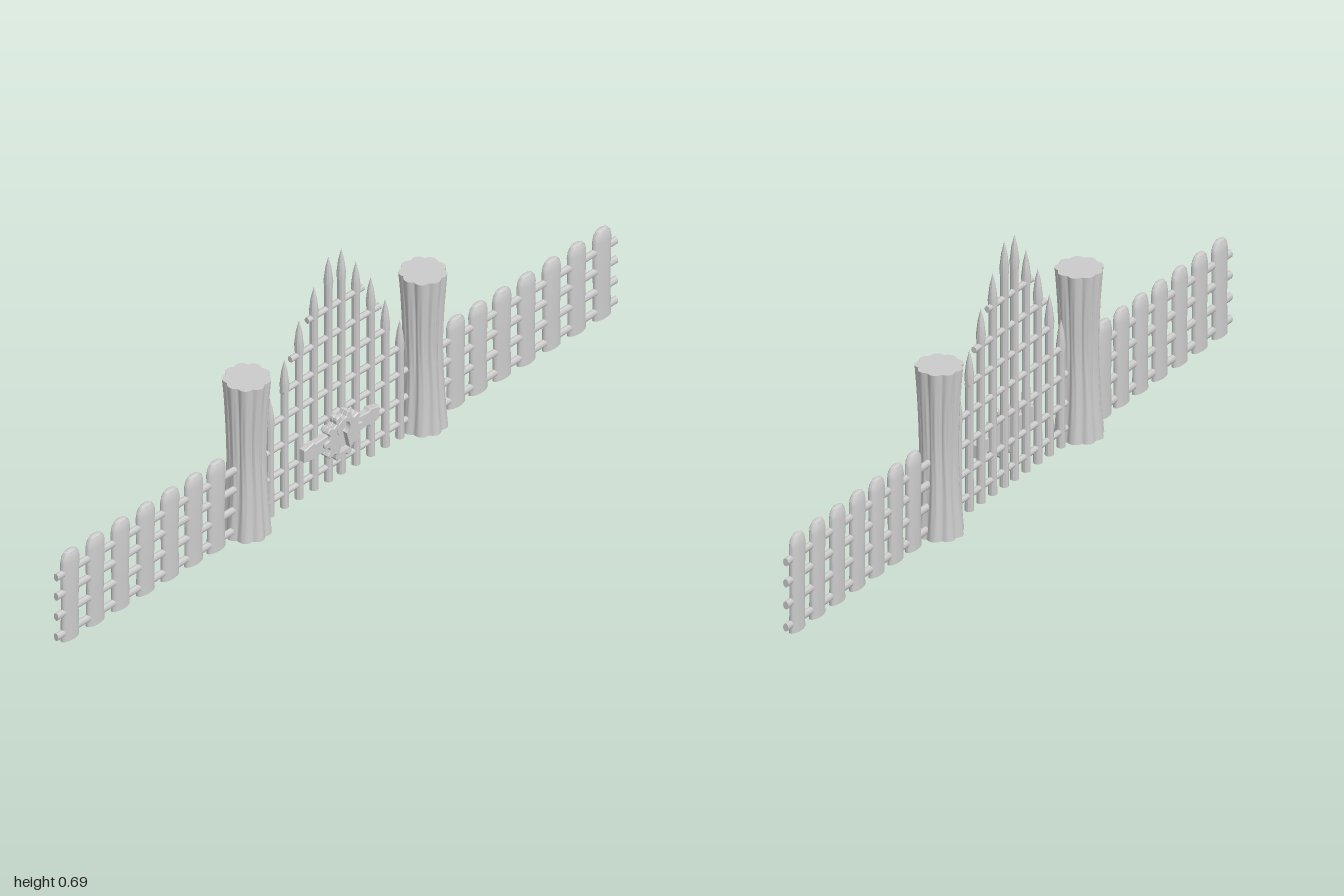
import * as THREE from 'three';
import { toCreasedNormals } from 'three/addons/utils/BufferGeometryUtils.js';

const material = new THREE.MeshStandardMaterial({ color: 0xcccccc, side: THREE.DoubleSide });

function add(parent, name, geometry, x = 0, y = 0, z = 0) {
  const mesh = new THREE.Mesh(geometry, material);
  mesh.name = name;
  mesh.position.set(x, y, z);
  parent.add(mesh);
  return mesh;
}

function lathe(profile, sides) {
  const points = profile.map(([r, y]) => new THREE.Vector2(r, y));
  return toCreasedNormals(new THREE.LatheGeometry(points, sides), 0.6);
}

// Horizontal rod between two x positions
function rail(parent, name, x0, x1, y, z, ry, rz) {
  const geometry = new THREE.CylinderGeometry(1, 1, x1 - x0, 10);
  geometry.rotateZ(Math.PI / 2).scale(1, ry, rz);
  add(parent, name, geometry, (x0 + x1) / 2, y, z);
}

// Waisted trunk with big lobes and fine bark ridges
function trunkGeometry(height) {
  const geometry = new THREE.CylinderGeometry(1, 1, height, 108, 14);
  const p = geometry.attributes.position;
  for (let i = 0; i < p.count; i++) {
    const x = p.getX(i), z = p.getZ(i), y = p.getY(i) / height + 0.5;
    const a = Math.atan2(z, x);
    const waist = 0.0475 + 0.0125 * Math.pow(Math.abs(y - 0.52) / 0.5, 1.7);
    const lobes = 0.92 + 0.13 * Math.abs(Math.sin(a * 4.5));
    const edge = Math.sin(Math.PI * y);
    const bark = 0.03 * edge * Math.sin(a * 27 + 1.5 * Math.sin(y * 7));
    const r = waist * (lobes + bark);
    p.setXYZ(i, x * r, p.getY(i), z * r);
  }
  geometry.computeVertexNormals();
  return geometry;
}

// Keyhole outline: round head with a flaring skirt
function keyhole(PathType, s) {
  const path = new PathType();
  path.moveTo(-0.022 * s, -0.05 * s);
  path.lineTo(-0.009 * s, 0.004 * s);
  path.absarc(0, 0.025 * s, 0.023 * s, -Math.PI * 0.63, -Math.PI * 0.37, true);
  path.lineTo(0.022 * s, -0.05 * s);
  path.closePath();
  return path;
}

function extrude(shape, depth, bevel = 0.002) {
  return new THREE.ExtrudeGeometry(shape, {
    depth: depth - bevel, bevelThickness: bevel, bevelSize: bevel,
    bevelOffset: -bevel, bevelSegments: 1, curveSegments: 12,
  });
}

function createLock() {
  const lock = new THREE.Group();
  lock.name = 'lock';

  // Scalloped plate pierced by the keyhole
  const points = [];
  for (let i = 0; i < 96; i++) {
    const a = (i / 96) * Math.PI * 2;
    const r = 0.061 + 0.008 * Math.tanh(3 * Math.cos(a * 10));
    points.push(new THREE.Vector2(r * Math.cos(a), r * Math.sin(a)));
  }
  const plate = new THREE.Shape(points);
  add(lock, 'lockBack', extrude(plate, 0.012), 0, 0, 0.008);
  const front = new THREE.Shape(points);
  front.holes.push(keyhole(THREE.Path, 1));
  add(lock, 'lockPlate', extrude(front, 0.012), 0, 0, 0.021);

  // Raised keyhole trim
  const trim = keyhole(THREE.Shape, 1.12);
  trim.holes.push(keyhole(THREE.Path, 0.9));
  add(lock, 'keyholeTrim', extrude(trim, 0.014, 0.001), 0, 0, 0.021);

  // Side arms with a flared end
  for (const side of [-1, 1]) {
    const arm = new THREE.Shape();
    [[0.04, -0.024], [0.095, -0.02], [0.1, -0.026], [0.135, -0.018],
      [0.135, 0.018], [0.1, 0.026], [0.095, 0.02], [0.04, 0.024]]
      .forEach(([x, y], i) => (i ? arm.lineTo(x * side, y) : arm.moveTo(x * side, y)));
    arm.closePath();
    add(lock, 'lockArm', extrude(arm, 0.018), 0, 0, 0.008);
  }
  lock.position.y = 0.14;
  return lock;
}

function createGate() {
  const gate = new THREE.Group();
  gate.name = 'gate';

  // Spiked bars rising towards the middle
  const xs = [0.023, 0.075, 0.128, 0.18, 0.232];
  const tops = [0.686, 0.62, 0.545, 0.45, 0.358];
  xs.forEach((x, i) => {
    const t = tops[i];
    const bar = lathe([[0, 0], [0.0115, 0], [0.0105, t * 0.4], [0.0105, t - 0.1],
      [0.0125, t - 0.075], [0.008, t - 0.035], [0, t]], 10);
    for (const side of [-1, 1]) add(gate, 'gateBar', bar, side * x);
  });

  // Cross rails, shorter towards the top
  const rails = [[0.043, 0.255], [0.113, 0.255], [0.195, 0.255], [0.276, 0.24],
    [0.356, 0.19], [0.44, 0.16], [0.528, 0.1]];
  for (const [y, half] of rails) rail(gate, 'gateRail', -half, half, y, 0, 0.009, 0.008);

  gate.add(createLock());
  return gate;
}

function createFence(side) {
  const fence = new THREE.Group();
  fence.name = side > 0 ? 'leftFence' : 'rightFence';

  // Flattened logs with domed tops
  const plank = lathe([[0, 0], [0.031, 0], [0.029, 0.1], [0.032, 0.238],
    [0.0285, 0.255], [0.019, 0.267], [0, 0.272]], 20);
  plank.scale(1, 1, 0.42);
  for (const x of [0.428, 0.508, 0.593, 0.68, 0.77, 0.86, 0.95]) {
    add(fence, 'plank', plank, side * x, 0, 0.003);
  }

  for (const y of [0.025, 0.087, 0.149, 0.208]) {
    const ends = [side * 0.34, side * 1].sort((a, b) => a - b);
    rail(fence, 'fenceRail', ends[0], ends[1], y, 0.004, 0.0115, 0.008);
  }
  return fence;
}

export function createModel() {
  const model = new THREE.Group();
  model.name = 'fencedGate';

  const height = 0.466;
  const trunk = trunkGeometry(height);
  for (const side of [-1, 1]) {
    add(model, side > 0 ? 'leftPillar' : 'rightPillar', trunk, side * 0.315, height / 2, 0);
    model.add(createFence(side));
  }
  model.add(createGate());
  return model;
}
